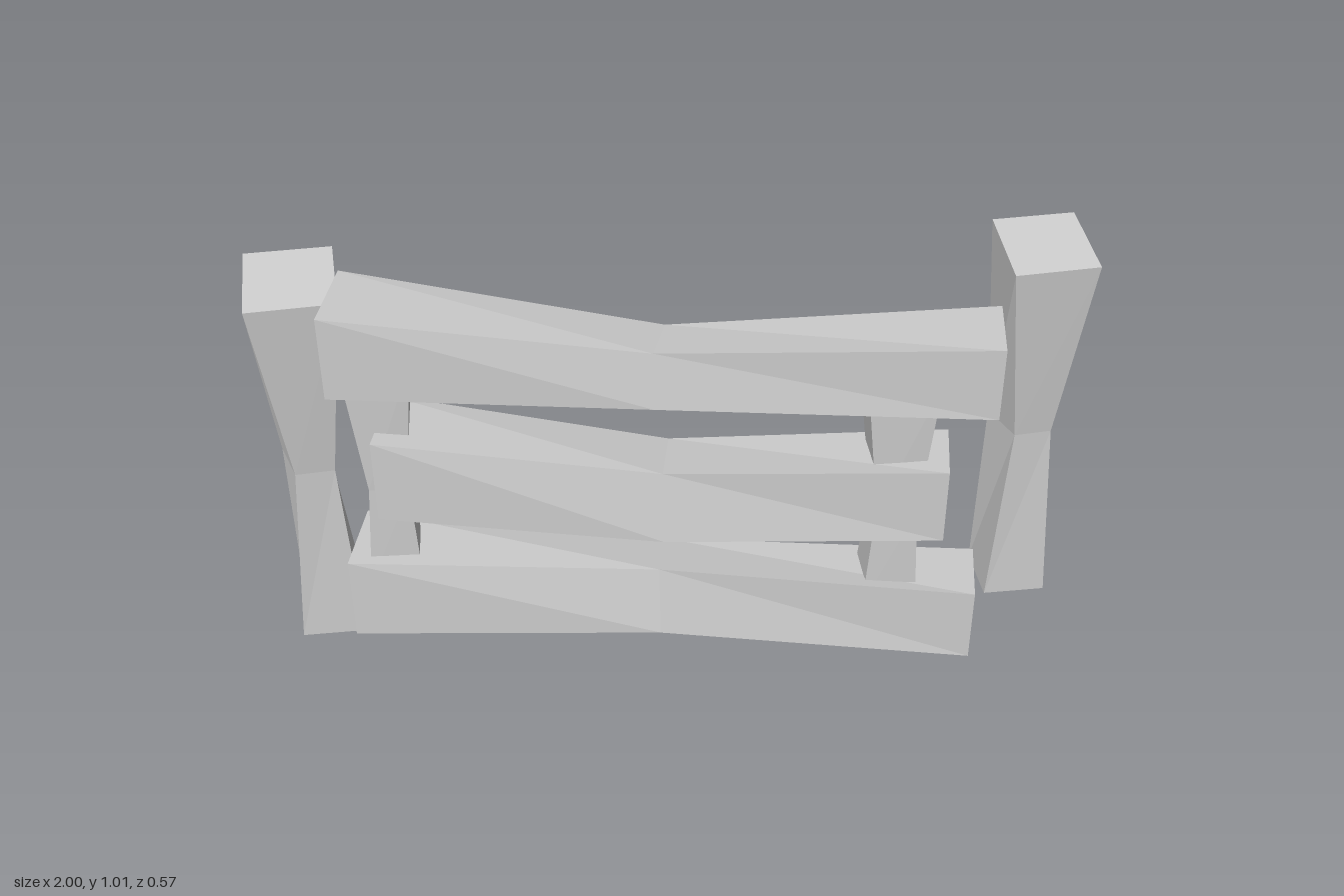
import * as THREE from 'three';

const material = new THREE.MeshStandardMaterial({ color: 0xcccccc, flatShading: true });

// Solid through four-cornered rings, each counter-clockwise seen from the far end.
function beam(name, rings) {
  const pos = [];
  const quad = (a, b, c, d) => pos.push(...a, ...b, ...c, ...a, ...c, ...d);
  for (let i = 0; i < rings.length - 1; i++) {
    const r = rings[i], s = rings[i + 1];
    for (let j = 0; j < 4; j++) {
      const k = (j + 1) % 4;
      quad(r[j], r[k], s[k], s[j]);
    }
  }
  const first = rings[0], last = rings[rings.length - 1];
  quad(first[3], first[2], first[1], first[0]);
  quad(last[0], last[1], last[2], last[3]);
  const geometry = new THREE.BufferGeometry();
  geometry.setAttribute('position', new THREE.Float32BufferAttribute(pos, 3));
  geometry.computeVertexNormals();
  const mesh = new THREE.Mesh(geometry, material);
  mesh.name = name;
  return mesh;
}

// Pinched gate post with a sloping top; the other one is a shifted copy.
function post(name, x) {
  const mesh = beam(name, [
    [[0.81, 0, -0.09], [0.97, 0, -0.095], [0.965, 0, -0.255], [0.805, 0, -0.25]],
    [[0.845, 0.49, -0.107], [0.94, 0.49, -0.118], [0.915, 0.49, -0.23], [0.805, 0.49, -0.225]],
    [[0.787, 0.97, -0.065], [0.998, 0.97, -0.087], [0.98, 1.013, -0.285], [0.775, 1.013, -0.268]],
  ]);
  mesh.position.x = x;
  return mesh;
}

// Rail section: front and back x and z, then bottom and top heights of each side.
function section(xf, zf, xb, zb, fBottom, fTop, bBottom = fBottom, bTop = fTop, lean = 0) {
  return [[xf, fBottom, zf + lean], [xb, bBottom, zb], [xb, bTop, zb], [xf, fTop, zf]];
}

// Pinched upright joining the rails.
function upright(name, x, z) {
  const ring = (y, x0, x1, z0, z1, skew) => [
    [x0, y, z1 - skew], [x1, y, z1], [x1, y, z0 + skew], [x0, y, z0],
  ];
  const mesh = beam(name, [
    ring(0.22, 0.42, 0.55, 0.07, 0.2, 0.01),
    ring(0.5, 0.44, 0.535, 0.1, 0.198, 0.01),
    ring(0.86, 0.4, 0.565, 0.055, 0.215, 0.022),
  ]);
  mesh.position.set(x, 0, z);
  return mesh;
}

export function createModel() {
  const group = new THREE.Group();
  group.name = 'brokenGate';

  group.add(post('leftPost', 0), post('rightPost', -1.777));

  // Three bent rails, swung out of line with the posts.
  group.add(
    beam('topRail', [
      section(-0.82, 0.03, -0.78, -0.19, 0.79, 1.0),
      section(-0.08, 0.155, -0.04, 0.0, 0.81, 0.945, 0.787, 0.925, 0.02),
      section(0.68, 0.283, 0.715, 0.092, 0.805, 0.985),
    ]),
    beam('middleRail', [
      section(-0.73, 0.045, -0.69, -0.16, 0.455, 0.67),
      section(-0.06, 0.15, -0.03, -0.035, 0.44, 0.615, 0.412, 0.587, 0.03),
      section(0.585, 0.267, 0.62, 0.09, 0.463, 0.655),
    ]),
    beam('bottomRail', [
      section(-0.82, 0.01, -0.78, -0.205, 0.078, 0.3),
      section(-0.07, 0.15, -0.04, -0.01, 0.163, 0.335, 0.132, 0.305, 0.03),
      section(0.68, 0.257, 0.715, 0.08, 0.092, 0.285),
    ])
  );

  group.add(upright('leftUpright', 0, 0), upright('rightUpright', -1.19, -0.2));
  return group;
}
